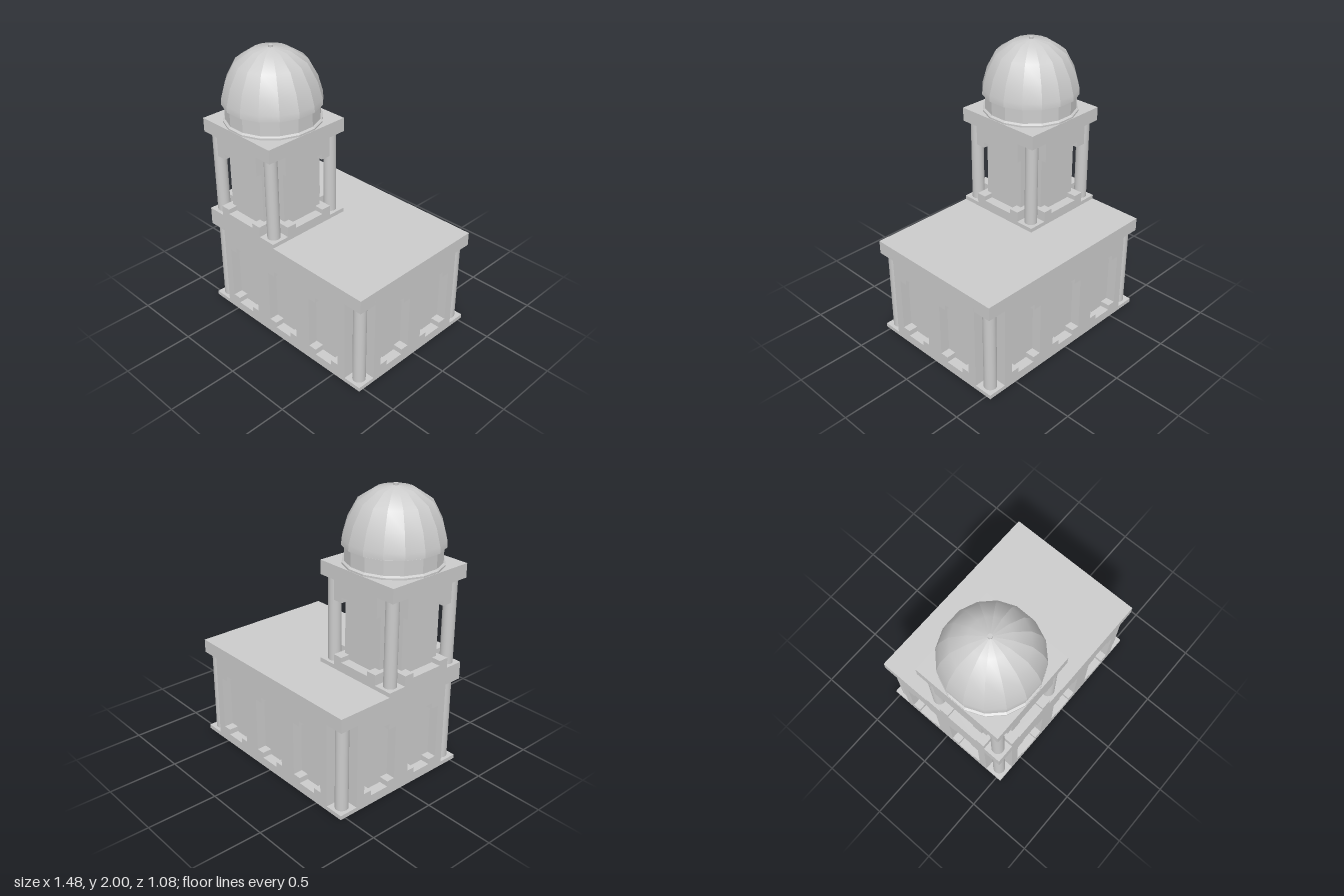
import * as THREE from 'three';
import { mergeGeometries } from 'three/addons/utils/BufferGeometryUtils.js';

const mat = new THREE.MeshStandardMaterial({ color: 0xcccccc });
const thin = new THREE.MeshStandardMaterial({ color: 0xcccccc, side: THREE.DoubleSide });

function add(parent, name, geometry, material = mat) {
  const mesh = new THREE.Mesh(geometry, material);
  mesh.name = name;
  parent.add(mesh);
  return mesh;
}

// Box given by its centre in x and z, and its bottom and top
function block(parent, name, x, z, w, d, y0, y1) {
  add(parent, name, new THREE.BoxGeometry(w, y1 - y0, d)).position.set(x, (y0 + y1) / 2, z);
}

// Window outline with stepped corners
function windowOutline(cx) {
  const a = 0.074, b = 0.136;
  return [[-a, 0.065], [a, 0.065], [a, 0.105], [b, 0.105], [b, 0.505], [a, 0.505],
    [a, 0.545], [-a, 0.545], [-a, 0.505], [-b, 0.505], [-b, 0.105], [-a, 0.105]]
    .map(([x, y]) => new THREE.Vector2(cx + x, y));
}

// Strip that joins a closed outline at z = 0 to the same outline at z = -depth
function reveal(outline, depth) {
  const pos = [];
  outline.forEach((p, i) => {
    const q = outline[(i + 1) % outline.length];
    pos.push(p.x, p.y, 0, p.x, p.y, -depth, q.x, q.y, 0, q.x, q.y, 0, p.x, p.y, -depth, q.x, q.y, -depth);
  });
  // reversed winding: the strip faces into the opening
  for (let i = 0; i < pos.length; i += 9) {
    const b = pos.slice(i + 3, i + 6);
    for (let k = 0; k < 3; k++) {
      pos[i + 3 + k] = pos[i + 6 + k];
      pos[i + 6 + k] = b[k];
    }
  }
  const g = new THREE.BufferGeometry();
  g.setAttribute('position', new THREE.Float32BufferAttribute(pos, 3));
  g.computeVertexNormals();
  return g;
}

// Shell wall with recessed windows and the returns beside the corner columns
function hallWall(half, dist, height, notch, centres) {
  const wall = new THREE.Group();
  wall.name = 'hallWall';
  const shape = new THREE.Shape([[-half, 0], [half, 0], [half, height], [-half, height]]
    .map(([x, y]) => new THREE.Vector2(x, y)));
  for (const cx of centres) {
    const outline = windowOutline(cx);
    shape.holes.push(new THREE.Path(outline));
    add(wall, 'windowReveal', reveal(outline, 0.07), thin).position.z = dist;
    add(wall, 'windowPanel', new THREE.ShapeGeometry(new THREE.Shape(outline)), thin).position.z = dist - 0.07;
  }
  add(wall, 'wallFace', new THREE.ShapeGeometry(shape), thin).position.z = dist;
  for (const s of [-1, 1]) {
    const side = add(wall, 'wallReturn', new THREE.PlaneGeometry(notch, height), thin);
    side.rotation.y = s * Math.PI / 2;
    side.position.set(s * half, height / 2, dist - notch / 2);
  }
  return wall;
}

// Four columns with square base and cap plates
function columns(parent, cx, cz, dx, dz, y0, y1) {
  for (const sx of [-1, 1]) for (const sz of [-1, 1]) {
    const x = cx + sx * dx, z = cz + sz * dz;
    block(parent, 'columnBase', x, z, 0.136, 0.136, y0, y0 + 0.03);
    block(parent, 'columnCap', x, z, 0.136, 0.136, y1 - 0.03, y1);
    add(parent, 'columnShaft', new THREE.CylinderGeometry(0.045, 0.045, y1 - y0 - 0.06, 20))
      .position.set(x, (y0 + y1) / 2, z);
  }
}

// Sixteen-sided turned part: each side flat across, smooth upwards
function facetedTurning(profile) {
  const n = 16, step = Math.PI * 2 / n, k = 1 / Math.cos(step / 2);
  const points = profile.map(([r, y]) => new THREE.Vector2(r * k, y));
  const sides = [];
  for (let i = 0; i < n; i++) {
    const g = new THREE.LatheGeometry(points, 1, (i - 0.5) * step, step);
    g.computeVertexNormals();
    sides.push(g);
  }
  return mergeGeometries(sides);
}

function createHall() {
  const hall = new THREE.Group();
  hall.name = 'hall';
  const X = 0.738, Z = 0.538, notch = 0.137, top = 0.672;
  for (let i = 0; i < 4; i++) {
    const wall = i % 2
      ? hallWall(Z - notch, X, top, notch, [-0.2, 0.2])
      : hallWall(X - notch, Z, top, notch, [-0.402, 0, 0.402]);
    wall.rotation.y = i * Math.PI / 2;
    hall.add(wall);
  }
  columns(hall, 0, 0, X - 0.068, Z - 0.068, 0, top);
  block(hall, 'hallRoof', 0, 0, 2 * X, 2 * Z, top, 0.74);
  return hall;
}

function createTower() {
  const tower = new THREE.Group();
  tower.name = 'tower';
  const H = 0.334, inner = 0.264, y0 = 0.74, y1 = 1.41;
  // cross-shaped core, wider at foot and head
  for (const [w, a, b] of [[0.165, 0.845, 1.24], [0.199, y0, 0.845], [0.199, 1.24, y1]]) {
    block(tower, 'towerCore', 0, 0, 2 * w, 2 * inner, a, b);
    block(tower, 'towerCore', 0, 0, 2 * inner, 2 * w, a, b);
  }
  // sill and lintel of each side, notched in the middle
  const w = 0.199, a = 0.125;
  const outlines = {
    sill: [[-w, y0], [w, y0], [w, 0.845], [a, 0.845], [a, 0.81], [-a, 0.81], [-a, 0.845], [-w, 0.845]],
    lintel: [[-w, y1], [-w, 1.24], [-a, 1.24], [-a, 1.28], [a, 1.28], [a, 1.24], [w, 1.24], [w, y1]],
  };
  for (let i = 0; i < 4; i++) {
    const side = new THREE.Group();
    side.name = 'towerSide';
    side.rotation.y = i * Math.PI / 2;
    for (const [name, pts] of Object.entries(outlines)) {
      const shape = new THREE.Shape(pts.map(([x, y]) => new THREE.Vector2(x, y)));
      add(side, name, new THREE.ExtrudeGeometry(shape, { depth: H - inner, bevelEnabled: false })).position.z = inner;
    }
    tower.add(side);
  }
  columns(tower, 0, 0, H - 0.068, H - 0.068, y0, y1);
  block(tower, 'towerRoof', 0, 0, 2 * H, 2 * H, y1, 1.48);

  // drum and dome
  add(tower, 'drumFoot', facetedTurning([[0.331, 1.48], [0.331, 1.492]]), thin);
  add(tower, 'drumFootTop', facetedTurning([[0.331, 1.492], [0.317, 1.502]]), thin);
  add(tower, 'drum', facetedTurning([[0.317, 1.502], [0.317, 1.6]]), thin);
  add(tower, 'domeUnderside', facetedTurning([[0.3, 1.6], [0.335, 1.608]]), thin);
  add(tower, 'dome', facetedTurning([[0.335, 1.608], [0.333, 1.65], [0.302, 1.765], [0.238, 1.89],
    [0.126, 1.966], [0, 1.988]]), thin);
  add(tower, 'finial', new THREE.CylinderGeometry(0.015, 0.015, 0.03, 12)).position.y = 1.985;
  tower.position.set(-0.404, 0, 0.204);
  return tower;
}

export function createModel() {
  const model = new THREE.Group();
  model.name = 'domedBuilding';
  model.add(createHall(), createTower());
  return model;
}
